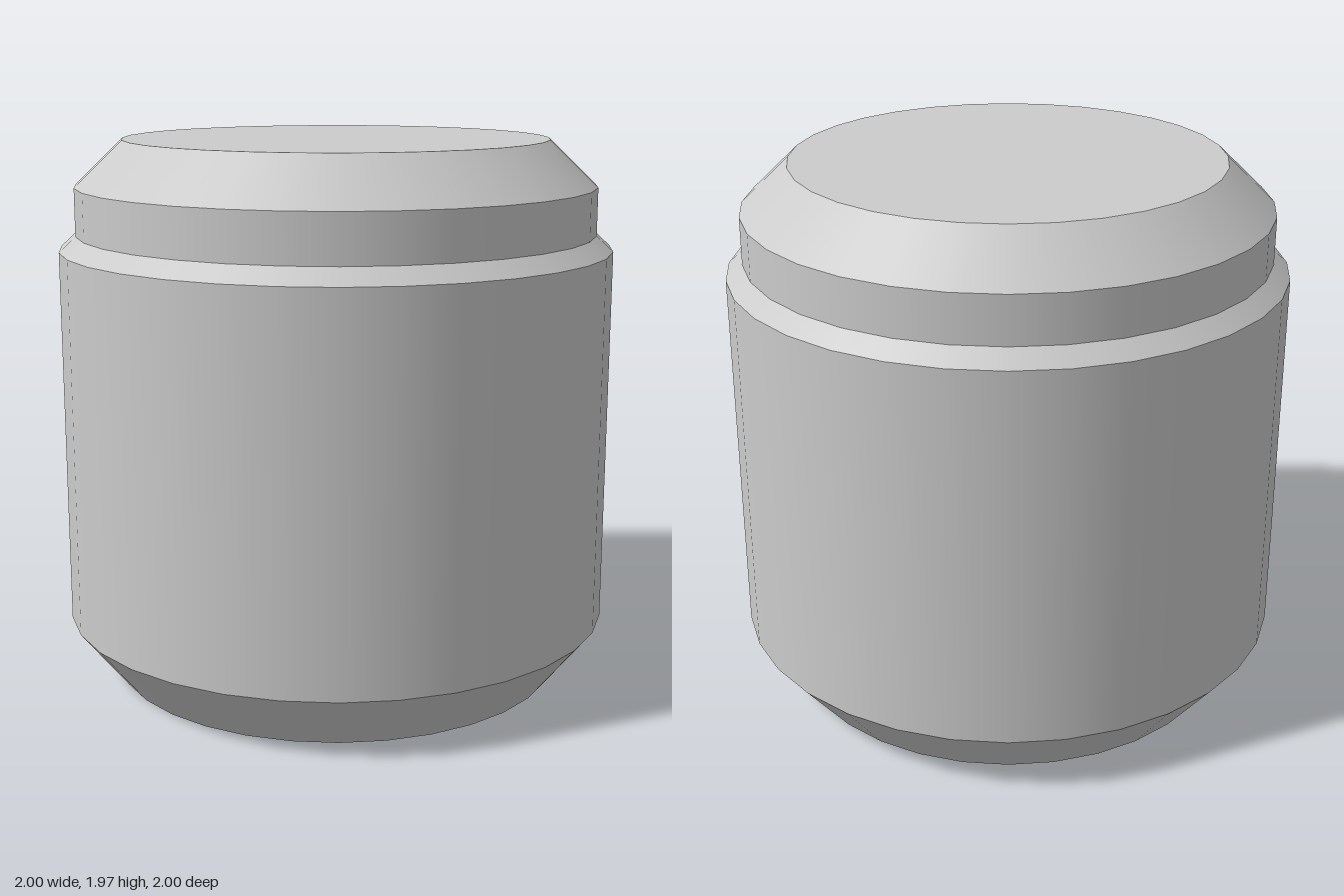
import * as THREE from 'three';

const SIDES = 32;

export function createModel() {
  const model = new THREE.Group();
  model.name = 'capsuleJar';
  // the shell is thin and open at the bottom
  const material = new THREE.MeshStandardMaterial({ color: 0xcccccc, side: THREE.DoubleSide });

  const add = (name, geometry, y) => {
    const mesh = new THREE.Mesh(geometry, material);
    mesh.name = name;
    mesh.position.y = y;
    model.add(mesh);
    return mesh;
  };

  // stacked open bands: name, lower radius, lower y, upper radius, upper y
  const bands = [
    ['bottomBevel', 0.825, 0, 1, 0.22],
    ['bodyWall', 1, 0.22, 1, 1.58],
    ['shoulder', 1, 1.58, 0.94, 1.635],
    ['neck', 0.94, 1.635, 0.94, 1.805],
    ['topBevel', 0.94, 1.805, 0.768, 1.97],
  ];
  for (const [name, r0, y0, r1, y1] of bands) {
    add(name, new THREE.CylinderGeometry(r1, r0, y1 - y0, SIDES, 1, true), (y0 + y1) / 2);
  }

  // flat lid closing the top
  add('lid', new THREE.CircleGeometry(0.768, SIDES).rotateX(-Math.PI / 2), 1.97);

  return model;
}
